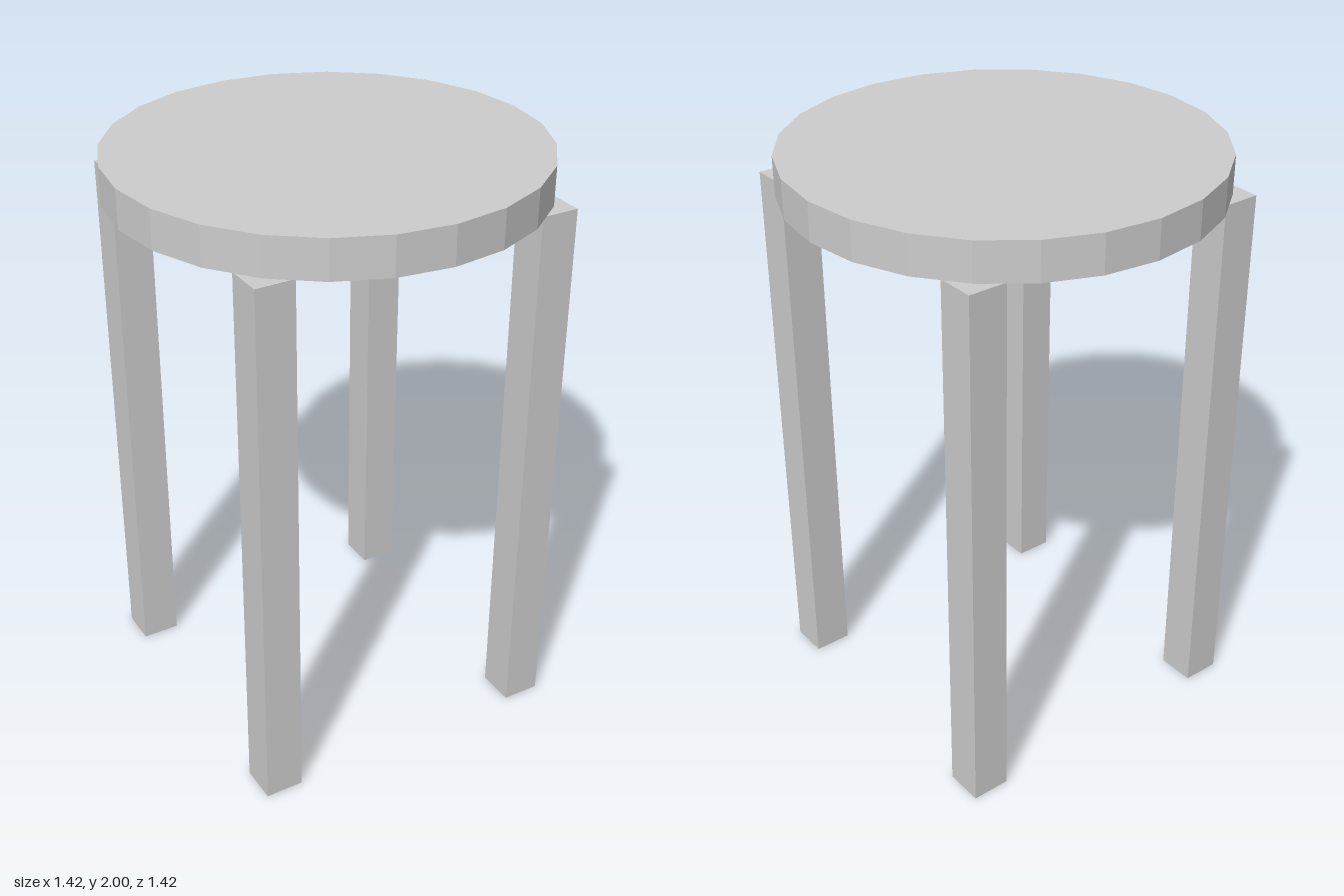
import * as THREE from 'three';

export function createModel() {
  const stool = new THREE.Group();
  stool.name = 'stool';

  const grey = new THREE.MeshStandardMaterial({ color: 0xcccccc, flatShading: true });
  grey.name = 'light grey';

  const totalHeight = 2;
  const seatThickness = 0.13;
  const legHeight = totalHeight - seatThickness;
  const legWidth = 0.13;
  const legOffset = 0.488;

  // Round seat with 24 flat sides
  const seat = new THREE.Mesh(new THREE.CylinderGeometry(0.71, 0.71, seatThickness, 24), grey);
  seat.name = 'seat';
  seat.position.y = totalHeight - seatThickness / 2;
  stool.add(seat);

  // Four square legs, their outer corners showing past the seat
  const legGeometry = new THREE.BoxGeometry(legWidth, legHeight, legWidth);
  for (const [end, z] of [['front', 1], ['back', -1]]) {
    for (const [side, x] of [['Left', 1], ['Right', -1]]) {
      const leg = new THREE.Mesh(legGeometry, grey);
      leg.name = `${end}${side}Leg`;
      leg.position.set(x * legOffset, legHeight / 2, z * legOffset);
      stool.add(leg);
    }
  }

  return stool;
}
